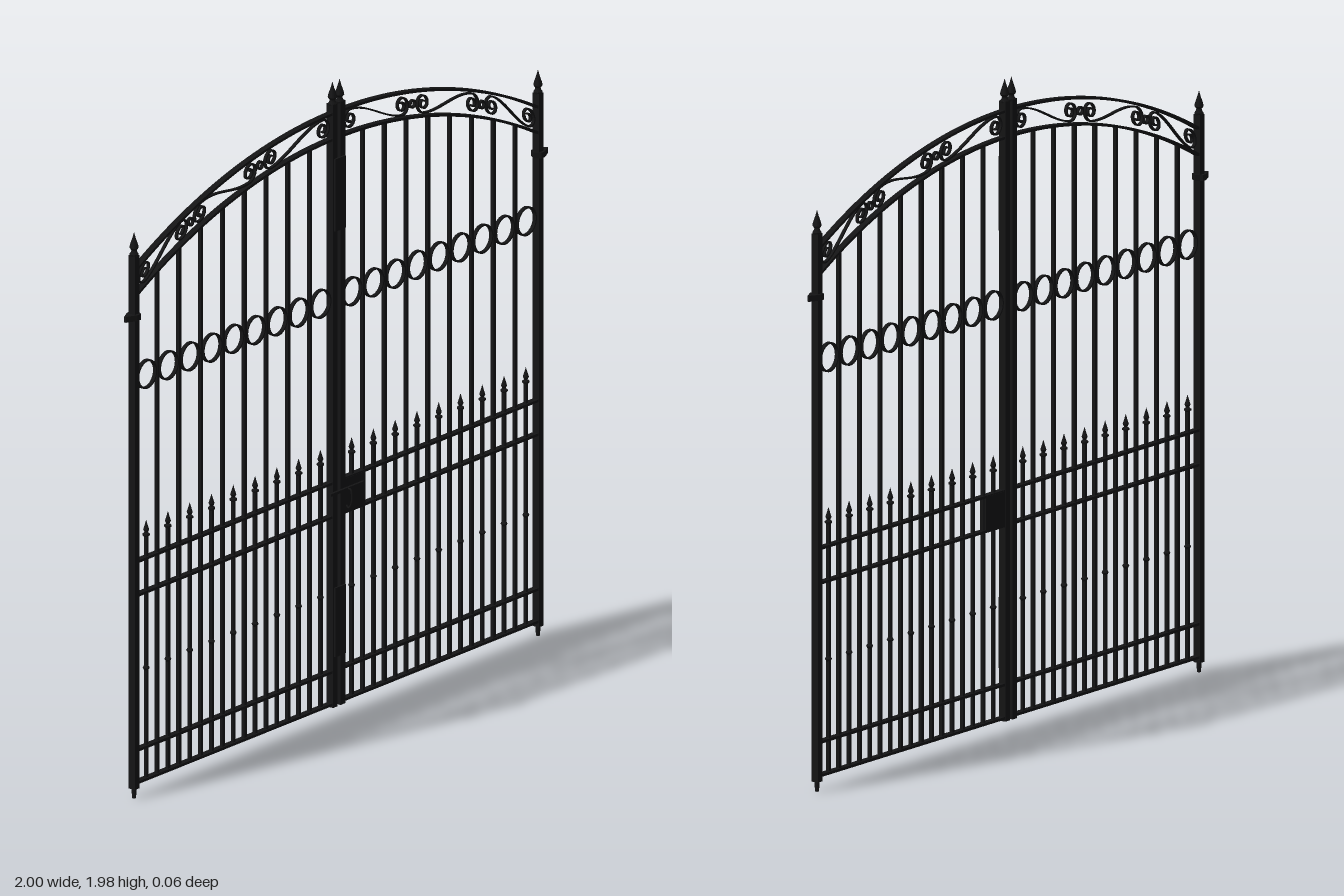
import * as THREE from 'three';
import { toCreasedNormals } from 'three/addons/utils/BufferGeometryUtils.js';

const ZC = -0.008;   // plane of the gate leaves
const R = 2.02;      // radius of the arched top
const STEP = 0.1032; // spacing of the bars

export function createModel() {
  const gate = new THREE.Group();
  gate.name = 'doubleGate';
  const iron = new THREE.MeshStandardMaterial({ color: 0x141415 });
  iron.name = 'blackIron';

  const add = (parent, name, geo, x = 0, y = 0, z = ZC) => {
    const m = new THREE.Mesh(geo, iron);
    m.name = name;
    m.position.set(x, y, z);
    parent.add(m);
    return m;
  };
  const box = (parent, name, x0, x1, y0, y1, depth, z = ZC) =>
    add(parent, name, new THREE.BoxGeometry(Math.abs(x1 - x0), y1 - y0, depth), (x0 + x1) / 2, (y0 + y1) / 2, z);
  const lathe = (pts, seg) =>
    toCreasedNormals(new THREE.LatheGeometry(pts.map(p => new THREE.Vector2(...p)), seg), 0.6);

  // Height of an arch whose crown is at the given height
  const arch = (x, crown) => crown - R + Math.sqrt(R * R - x * x);

  // Flat iron strip following a line of points in the gate plane
  const ribbon = (pts, width, depth) => {
    const left = [], right = [];
    pts.forEach((p, i) => {
      const a = pts[Math.max(i - 1, 0)], b = pts[Math.min(i + 1, pts.length - 1)];
      const n = new THREE.Vector2(a.y - b.y, b.x - a.x).normalize().multiplyScalar(width / 2);
      left.push(p.clone().add(n));
      right.unshift(p.clone().sub(n));
    });
    const geo = new THREE.ExtrudeGeometry(new THREE.Shape([...left, ...right]), { depth, bevelEnabled: false });
    return geo.translate(0, 0, -depth / 2);
  };

  // S-scroll bent along the arch; s = 1 leaves the first spiral at its top
  const scroll = (side, xa, xb, s) => {
    const r1 = 0.031, spiral = [];
    for (let i = 0; i <= 36; i++) {
      const t = i / 36, ang = Math.PI / 2 + (1 - t) * Math.PI * 3.2, r = 0.007 + (r1 - 0.007) * t;
      spiral.push([r * Math.cos(ang), s * r * Math.sin(ang)]);
    }
    const uv = spiral.map(([u, v]) => [xa + u, v]);
    for (let i = 1; i < 14; i++) {
      const t = i / 14;
      uv.push([xa + (xb - xa) * t, s * r1 * (1 - 2 * t * t * (3 - 2 * t))]);
    }
    uv.push(...spiral.map(([u, v]) => [xb - u, -v]).reverse());
    return uv.map(([u, v]) => new THREE.Vector2(side * u, arch(u, 1.845) + v));
  };

  const ring = (ri, ro, h) =>
    lathe([[ri, -h], [ro, -h], [ro, h], [ri, h], [ri, -h]], 32).rotateX(Math.PI / 2);
  const ringGeo = ring(0.04, 0.045, 0.006);
  const smallRingGeo = ring(0.009, 0.014, 0.005);
  const postTip = lathe([[0, 0], [0.012, 0], [0.014, 0.006], [0.009, 0.013], [0.008, 0.018],
    [0.014, 0.026], [0.012, 0.036], [0.005, 0.056], [0, 0.074]], 12);
  const spearTip = lathe([[0, 0], [0.006, 0], [0.011, 0.004], [0.011, 0.009], [0.005, 0.013],
    [0.009, 0.022], [0.004, 0.038], [0, 0.052]], 10);
  const knob = lathe([[0, -0.011], [0.006, -0.008], [0.0105, 0], [0.006, 0.008], [0, 0.011]], 10);

  // Hinge collar tapering to a point outwards
  const hingeShape = new THREE.Shape([[-0.021, 0], [-0.008, -0.02], [0.008, -0.02], [0.043, -0.003],
    [0.043, 0.003], [0.008, 0.02], [-0.008, 0.02]].map(p => new THREE.Vector2(...p)));

  for (const side of [1, -1]) {
    const leaf = new THREE.Group();
    leaf.name = side > 0 ? 'leftLeaf' : 'rightLeaf';
    gate.add(leaf);

    // Posts with spear finials
    box(leaf, 'outerPost', side * 0.946, side * 0.968, 0.03, 1.69, 0.024);
    add(leaf, 'outerPostFoot', new THREE.CylinderGeometry(0.008, 0.006, 0.032, 12), side * 0.957, 0.016);
    add(leaf, 'outerPostFinial', postTip, side * 0.957, 1.688);
    box(leaf, 'innerPost', side * 0.007, side * 0.029, 0.037, 1.915, 0.024);
    add(leaf, 'innerPostFinial', postTip, side * 0.017, 1.908);

    // Hinge
    const hinge = add(leaf, 'hinge', new THREE.ExtrudeGeometry(hingeShape, { depth: 0.018, bevelEnabled: false })
      .translate(0, 0, -0.009).rotateX(Math.PI / 2), side * 0.957, 1.5);
    if (side < 0) hinge.rotation.y = Math.PI;

    // Horizontal rails
    for (const y of [0.047, 0.148, 0.63, 0.735])
      box(leaf, 'rail', side * 0.02, side * 0.957, y - 0.004, y + 0.004, 0.02);

    // Arched bands
    for (const crown of [1.885, 1.805]) {
      const pts = [];
      for (let i = 0; i <= 32; i++) {
        const x = 0.02 + 0.937 * i / 32;
        pts.push(new THREE.Vector2(side * x, arch(x, crown)));
      }
      add(leaf, 'archBand', ribbon(pts, 0.008, 0.02));
    }

    // Scrollwork between the bands
    for (const [xa, xb, s] of [[0.064, 0.31, 1], [0.411, 0.644, -1], [0.736, 0.909, 1]])
      add(leaf, 'scroll', ribbon(scroll(side, xa, xb, s), 0.005, 0.01));
    for (const x of [0.361, 0.69]) add(leaf, 'scrollRing', smallRingGeo, side * x, arch(x, 1.845));

    // Tall bars
    for (let i = 0; i < 8; i++) {
      const x = 0.1255 + STEP * i;
      box(leaf, 'tallBar', side * (x - 0.0055), side * (x + 0.0055), 0.047, arch(x, 1.805), 0.011);
    }

    // Short spear bars with knobs, and the row of rings above
    for (let i = 0; i < 9; i++) {
      const x = side * (0.074 + STEP * i);
      box(leaf, 'spearBar', x - 0.005, x + 0.005, 0.047, 0.802, 0.01);
      add(leaf, 'spearTip', spearTip, x, 0.799);
      add(leaf, 'barKnob', knob, x, 0.391);
      add(leaf, 'ring', ringGeo, x, 1.305);
    }
  }

  // Cover plates over the gap between the leaves
  box(gate, 'upperCoverPlate', -0.024, 0.024, 1.52, 1.745, 0.008, 0.006);
  box(gate, 'lowerCoverPlate', -0.024, 0.024, 0.195, 0.41, 0.008, 0.006);

  // Lock case, sliding bolt and lever
  box(gate, 'lockCase', 0.02, 0.125, 0.632, 0.735, 0.022);
  box(gate, 'bolt', -0.05, 0.11, 0.701, 0.709, 0.008, 0.008);
  const lever = new THREE.CatmullRomCurve3([[0.035, 0.705, 0.006], [0.035, 0.703, 0.02], [0.035, 0.68, 0.024],
    [0.035, 0.66, 0.022], [0.035, 0.645, 0.012], [0.035, 0.652, 0.004]].map(p => new THREE.Vector3(...p)));
  add(gate, 'lever', new THREE.TubeGeometry(lever, 24, 0.003, 8), 0, 0, 0);

  return gate;
}
